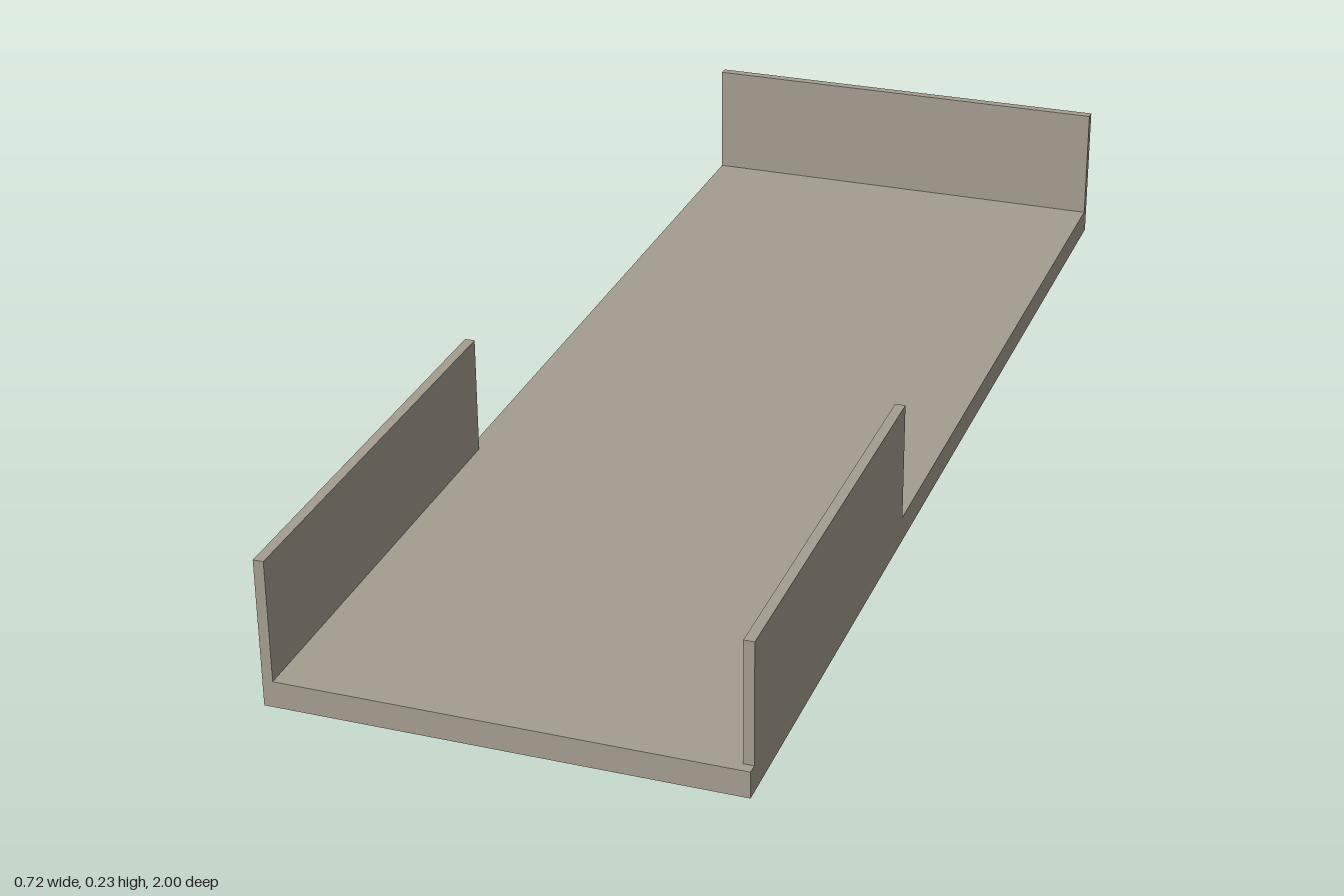
import * as THREE from 'three';

const HALF_W = 0.36, BASE_H = 0.042, TOP = 0.235, WALL = 0.016;

export function createModel() {
  const group = new THREE.Group();
  group.name = 'tray';
  const material = new THREE.MeshStandardMaterial({ color: 0xa49d8f });
  material.name = 'warm grey';

  // Box given by its lower and upper corners
  const addBox = (name, [x0, y0, z0], [x1, y1, z1]) => {
    const mesh = new THREE.Mesh(new THREE.BoxGeometry(x1 - x0, y1 - y0, z1 - z0), material);
    mesh.position.set((x0 + x1) / 2, (y0 + y1) / 2, (z0 + z1) / 2);
    mesh.name = name;
    group.add(mesh);
  };

  // Flat base slab
  addBox('base', [-HALF_W, 0, -1], [HALF_W, BASE_H, 1]);

  // Upright panel across the back
  addBox('backWall', [-HALF_W, BASE_H, -1], [HALF_W, TOP, -1 + WALL]);

  // Side panels near the front; the one at +x stops just short of the front edge
  addBox('rightWall', [-HALF_W, BASE_H, 0.263], [-HALF_W + WALL, TOP, 1]);
  addBox('leftWall', [HALF_W - WALL, BASE_H, 0.263], [HALF_W, TOP, 1 - WALL]);

  return group;
}
